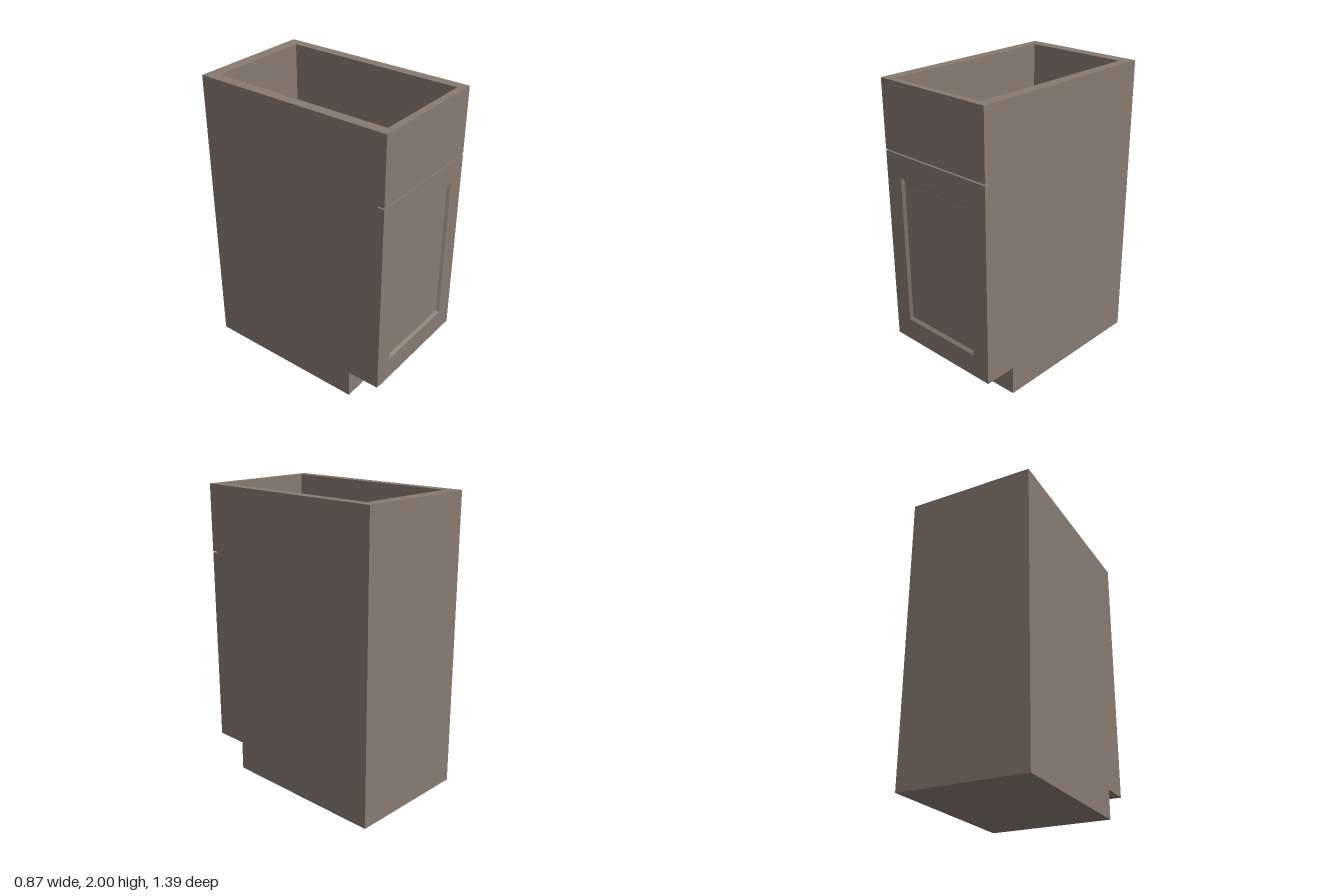
import * as THREE from 'three';

const W = 0.433, BACK = -0.695, FRONT = 0.695; // outer half width, back and front planes
const INNER_W = 0.363, INNER_BACK = -0.612, FACE = 0.65; // inside of the walls
const TOE_Y = 0.2, TOE_Z = 0.468, FLOOR_Y = 0.27;
const GAP_LOW = 1.539, GAP_HIGH = 1.548, TOP = 2;

// Flat-faced solid from nested rectangles [halfWidth, yMin, yMax, z], closed at both ends
function rectangleLoft(loops) {
  const rings = loops.map(([w, y0, y1, z]) => [[-w, y0, z], [w, y0, z], [w, y1, z], [-w, y1, z]]);
  const positions = [];
  const quad = (a, b, c, d) => positions.push(...a, ...b, ...c, ...a, ...c, ...d);
  for (let i = 0; i < rings.length - 1; i++) {
    for (let k = 0; k < 4; k++) {
      const n = (k + 1) % 4;
      quad(rings[i][k], rings[i][n], rings[i + 1][n], rings[i + 1][k]);
    }
  }
  const first = rings[0], last = rings[rings.length - 1];
  quad(first[3], first[2], first[1], first[0]);
  quad(last[0], last[1], last[2], last[3]);
  const geometry = new THREE.BufferGeometry();
  geometry.setAttribute('position', new THREE.Float32BufferAttribute(positions, 3));
  geometry.computeVertexNormals();
  return geometry;
}

export function createModel() {
  const cabinet = new THREE.Group();
  cabinet.name = 'baseCabinet';
  const paint = new THREE.MeshStandardMaterial({ color: 0x877b70 });

  const add = (name, geometry) => {
    const mesh = new THREE.Mesh(geometry, paint);
    mesh.name = name;
    cabinet.add(mesh);
    return mesh;
  };
  // Box centred on x, given by its y and z ranges
  const addBox = (name, halfWidth, y0, y1, z0, z1) =>
    add(name, new THREE.BoxGeometry(halfWidth * 2, y1 - y0, z1 - z0))
      .position.set(0, (y0 + y1) / 2, (z0 + z1) / 2);

  // Side panels, notched at the toe space
  const profile = new THREE.Shape([
    [BACK, 0], [TOE_Z, 0], [TOE_Z, TOE_Y], [FACE, TOE_Y], [FACE, TOP], [BACK, TOP],
  ].map(([z, y]) => new THREE.Vector2(z, y)));
  const sideGeometry = new THREE.ExtrudeGeometry(profile, { depth: W - INNER_W, bevelEnabled: false });
  sideGeometry.rotateY(-Math.PI / 2);
  add('leftSide', sideGeometry).position.x = W;
  add('rightSide', sideGeometry).position.x = -INNER_W;

  // Back, plinth and floor between the sides
  addBox('back', INNER_W, 0, TOP, BACK, INNER_BACK);
  addBox('plinth', INNER_W, 0, TOE_Y, INNER_BACK, TOE_Z);
  addBox('floor', INNER_W, TOE_Y, FLOOR_Y, INNER_BACK, FACE);

  // Drawer front above the open gap, with a rail on its inside
  addBox('drawerFront', W, GAP_HIGH, TOP, FACE, FRONT);
  addBox('innerRail', INNER_W, 1.615, 1.685, 0.625, FACE);

  // Door with a bevelled, recessed centre panel
  add('door', rectangleLoft([
    [W, TOE_Y, GAP_LOW, FACE],
    [W, TOE_Y, GAP_LOW, FRONT],
    [0.306, 0.356, 1.386, FRONT],
    [0.291, 0.374, 1.369, FRONT - 0.018],
  ]));

  return cabinet;
}
